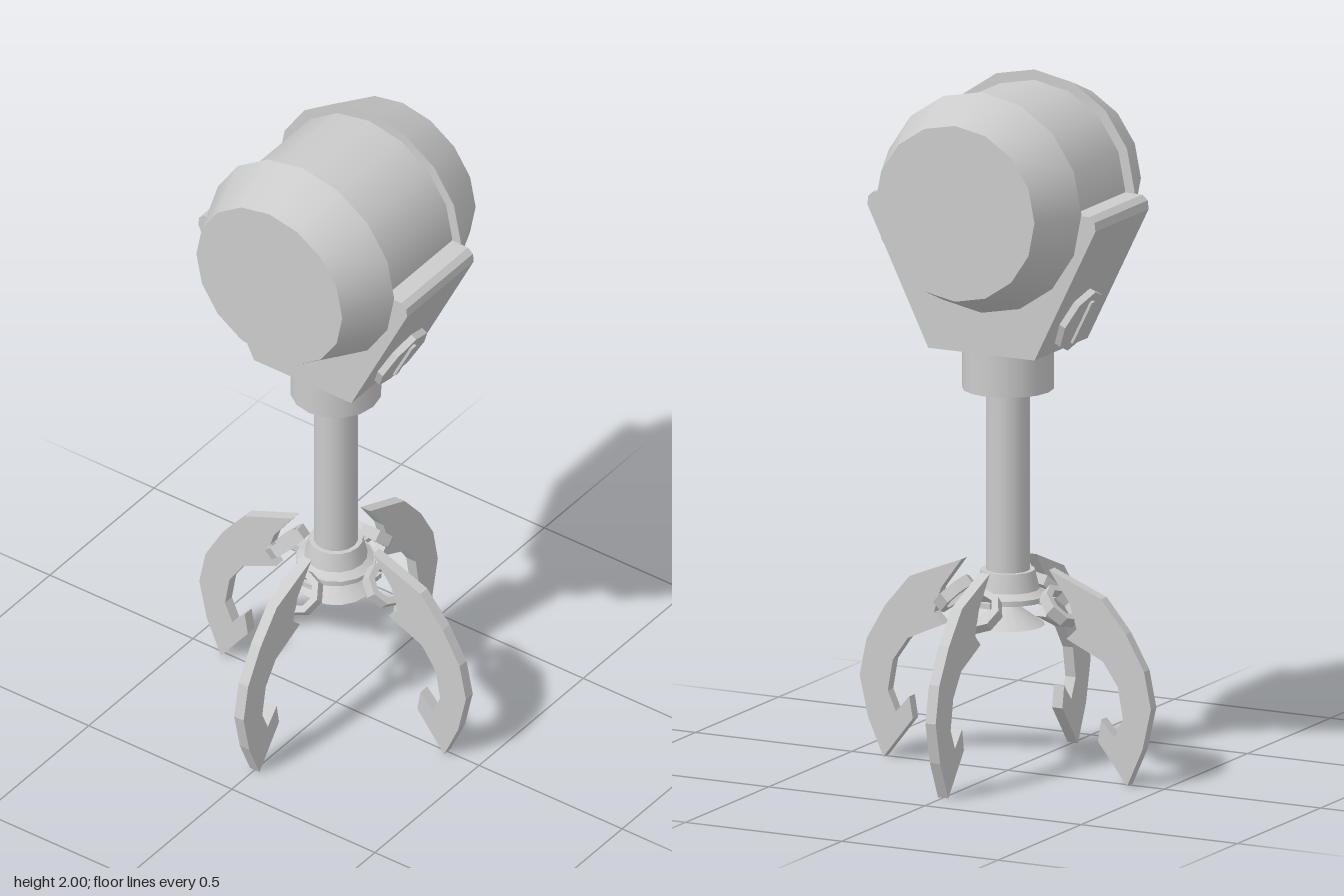
import * as THREE from 'three';

const material = new THREE.MeshStandardMaterial({ color: 0xcccccc });
const flatMaterial = new THREE.MeshStandardMaterial({ color: 0xcccccc, flatShading: true });

function add(parent, name, geometry, mat = material) {
  const mesh = new THREE.Mesh(geometry, mat);
  mesh.name = name;
  parent.add(mesh);
  return mesh;
}

// Outline in the xy plane, extruded evenly about z = 0
function plate(points, depth, hole) {
  const shape = new THREE.Shape(points.map(([x, y]) => new THREE.Vector2(x, y)));
  if (hole) shape.holes.push(new THREE.Path(hole.map(([x, y]) => new THREE.Vector2(x, y))));
  return new THREE.ExtrudeGeometry(shape, { depth, bevelEnabled: false }).translate(0, 0, -depth / 2);
}

function polygon(radius, sides) {
  return Array.from({ length: sides }, (_, i) => {
    const a = (i / sides) * Math.PI * 2;
    return [radius * Math.cos(a), radius * Math.sin(a)];
  });
}

function cylinder(rTop, rBottom, y0, y1, sides = 16) {
  return new THREE.CylinderGeometry(rTop, rBottom, y1 - y0, sides).translate(0, (y0 + y1) / 2, 0);
}

const CLAW = [
  [0.14, 0.6], [0.307, 0.533], [0.385, 0.44], [0.444, 0.337], [0.466, 0.23],
  [0.439, 0.11], [0.39, 0], [0.296, 0.12], [0.307, 0.184], [0.35, 0.136],
  [0.376, 0.194], [0.36, 0.284], [0.312, 0.353], [0.196, 0.406],
  [0.228, 0.437], [0.206, 0.51],
];

const BRACKET = [
  [-0.17, 1.24], [0.17, 1.24], [0.365, 1.635], [0.362, 1.66], [0.345, 1.675],
  [-0.345, 1.675], [-0.362, 1.66], [-0.365, 1.635],
];

export function createModel() {
  const model = new THREE.Group();
  model.name = 'grabberArm';

  // Motor drum lying along z, with a tapered cap at each end
  const drum = new THREE.Group();
  drum.name = 'drum';
  drum.position.y = 1.68;
  model.add(drum);
  add(drum, 'drumBody', new THREE.CylinderGeometry(0.29, 0.29, 0.33, 16).rotateX(Math.PI / 2));
  for (const turn of [0, Math.PI]) {
    const cap = cylinder(0.255, 0.32, 0.16, 0.32).rotateX(Math.PI / 2);
    add(drum, 'drumCap', cap).rotation.y = turn;
  }

  // Cradle under the drum
  add(model, 'bracket', plate(BRACKET, 0.32), flatMaterial);

  // Slotted bolts on the sloping sides of the cradle
  for (const turn of [0, Math.PI]) {
    const side = new THREE.Group();
    side.name = 'boltSide';
    side.rotation.y = turn;
    model.add(side);
    const bolt = new THREE.Group();
    bolt.name = 'bolt';
    bolt.position.set(0.218, 1.337, 0);
    bolt.rotation.z = -Math.atan(0.5);
    side.add(bolt);
    const head = cylinder(0.1, 0.1, -0.01, 0.02, 8).rotateZ(-Math.PI / 2);
    add(bolt, 'boltHead', head, flatMaterial);
    add(bolt, 'boltBar', new THREE.BoxGeometry(0.03, 0.14, 0.018).translate(0.013, 0, 0));
  }

  // Collar, shaft and hub
  add(model, 'collar', cylinder(0.13, 0.13, 1.11, 1.24));
  add(model, 'shaft', cylinder(0.063, 0.063, 0.56, 1.11));
  add(model, 'hubNeck', cylinder(0.077, 0.09, 0.53, 0.585));
  add(model, 'hubFlare', cylinder(0.085, 0.11, 0.515, 0.53));
  add(model, 'hubFlange', cylinder(0.115, 0.115, 0.5, 0.515));
  add(model, 'hubTip', cylinder(0, 0.105, 0.425, 0.5));

  // Four claws, each with a tilted ring and a short arm to the hub
  for (let i = 0; i < 4; i++) {
    const arm = new THREE.Group();
    arm.name = 'clawArm';
    arm.rotation.y = (i * Math.PI) / 2;
    model.add(arm);
    add(arm, 'claw', plate(CLAW, 0.033), flatMaterial);
    add(arm, 'armBar', new THREE.BoxGeometry(0.08, 0.016, 0.04).translate(0.105, 0.506, 0));
    const ring = plate(polygon(0.066, 8), 0.034, polygon(0.045, 8)).rotateY(Math.PI / 2);
    const ringMesh = add(arm, 'ring', ring, flatMaterial);
    ringMesh.position.set(0.17, 0.495, 0);
    ringMesh.rotation.z = Math.PI / 4;
  }

  return model;
}
